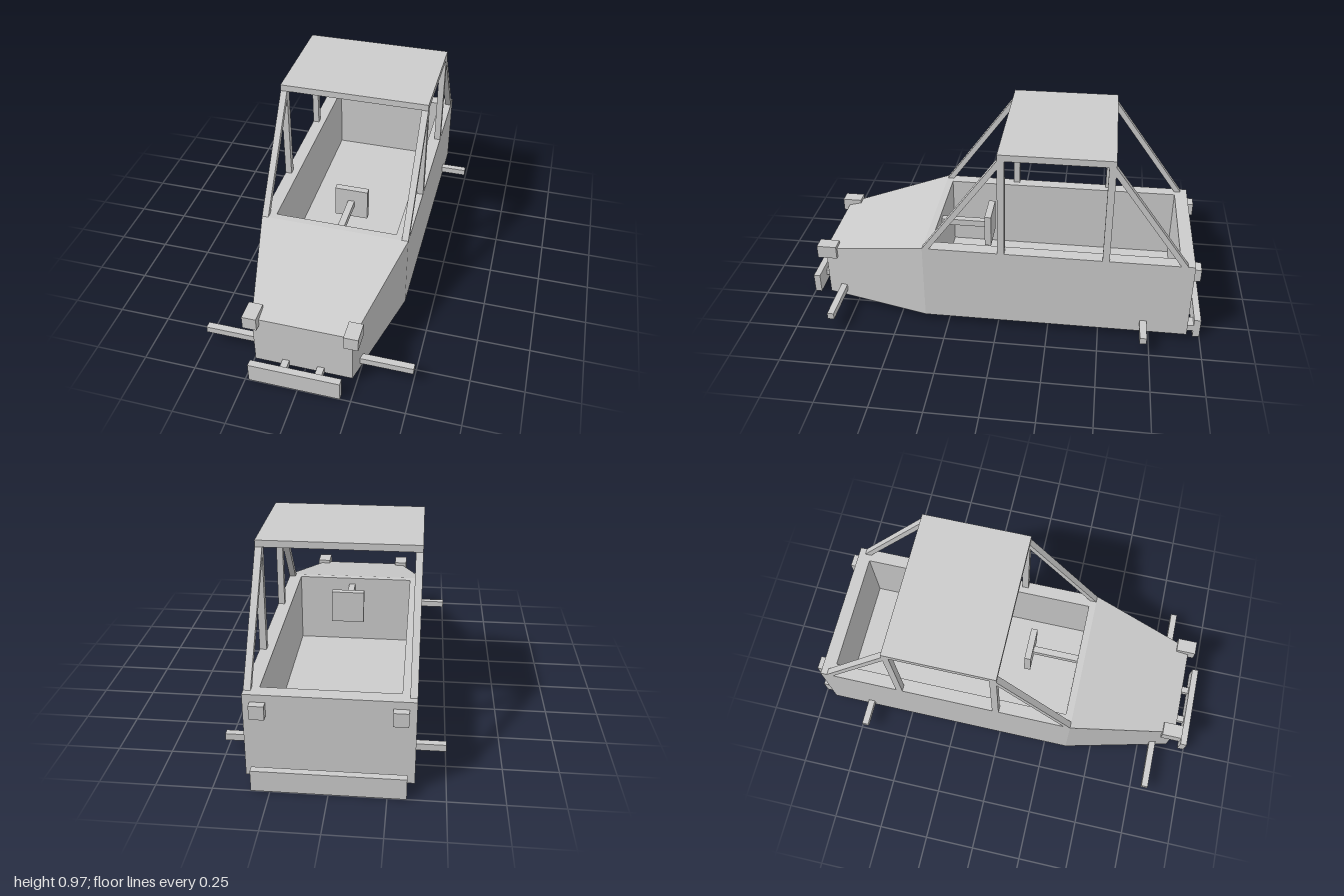
import * as THREE from 'three';

const material = new THREE.MeshStandardMaterial({ color: 0xcccccc, flatShading: true });

function addMesh(parent, name, geometry) {
  const mesh = new THREE.Mesh(geometry, material);
  mesh.name = name;
  parent.add(mesh);
  return mesh;
}

// Box given by its extents along each axis
function addBox(parent, name, [x0, x1], [y0, y1], [z0, z1]) {
  const mesh = addMesh(parent, name, new THREE.BoxGeometry(x1 - x0, y1 - y0, z1 - z0));
  mesh.position.set((x0 + x1) / 2, (y0 + y1) / 2, (z0 + z1) / 2);
  return mesh;
}

// The same box on the left (+x) and on the right (-x)
function addPair(parent, name, [x0, x1], y, z) {
  addBox(parent, name + 'Left', [x0, x1], y, z);
  addBox(parent, name + 'Right', [-x1, -x0], y, z);
}

// Box whose vertices are moved by a rule
function shapedBox(w, h, d, rule) {
  const geometry = new THREE.BoxGeometry(w, h, d);
  const p = geometry.attributes.position;
  const v = new THREE.Vector3();
  for (let i = 0; i < p.count; i++) {
    rule(v.fromBufferAttribute(p, i));
    p.setXYZ(i, v.x, v.y, v.z);
  }
  geometry.computeVertexNormals();
  return geometry;
}

const HALF = 0.365, BOTTOM = 0.035, RIM = 0.435;
const BACK = -0.933, COWL = 0.367, NOSE = 0.9;

function createBody() {
  const body = new THREE.Group();
  body.name = 'body';

  // Open tub: a rectangular rim with the cockpit cut out
  const rectangle = (Type, x, z0, z1) => new Type([
    new THREE.Vector2(-x, -z1), new THREE.Vector2(x, -z1),
    new THREE.Vector2(x, -z0), new THREE.Vector2(-x, -z0),
  ]);
  const outline = rectangle(THREE.Shape, HALF, BACK, COWL);
  outline.holes.push(rectangle(THREE.Path, 0.3, -0.867, 0.333));
  const tub = new THREE.ExtrudeGeometry(outline, { depth: RIM - BOTTOM, bevelEnabled: false });
  tub.rotateX(-Math.PI / 2).translate(0, BOTTOM, 0);
  addMesh(body, 'tub', tub);
  addBox(body, 'floor', [-0.3, 0.3], [BOTTOM, 0.067], [-0.867, 0.333]);

  // Nose narrows and slopes down towards the front
  const nose = shapedBox(HALF * 2, RIM - BOTTOM, NOSE - COWL, (v) => {
    if (v.z > 0) {
      v.x *= 0.233 / HALF;
      if (v.y > 0) v.y -= 0.133;
    }
  });
  addMesh(body, 'nose', nose).position.set(0, (BOTTOM + RIM) / 2, (COWL + NOSE) / 2);
  return body;
}

function createCage() {
  const cage = new THREE.Group();
  cage.name = 'rollCage';
  addBox(cage, 'roof', [-HALF, HALF], [0.935, 0.967], [-0.533, 0]);
  addPair(cage, 'frontPost', [0.333, HALF], [RIM, 0.935], [-0.033, 0]);
  addPair(cage, 'rearPost', [0.333, HALF], [RIM, 0.935], [-0.533, -0.5]);

  // Slanted braces with level ends, from the roof corners to the rim
  const addBrace = (name, topZ, bottomZ) => {
    for (const side of [1, -1]) {
      const geometry = shapedBox(0.032, 0.5, 0.033, (v) => {
        v.z += v.y > 0 ? topZ : bottomZ;
      });
      addMesh(cage, name + (side > 0 ? 'Left' : 'Right'), geometry)
        .position.set(side * 0.349, (RIM + 0.935) / 2, 0);
    }
  };
  addBrace('frontBrace', -0.016, 0.35);
  addBrace('rearBrace', -0.517, -0.883);
  return cage;
}

export function createModel() {
  const model = new THREE.Group();
  model.name = 'buggy';
  model.add(createBody(), createCage());

  // Steering
  const steering = new THREE.Group();
  steering.name = 'steering';
  addBox(steering, 'steeringWheel', [-0.067, 0.1], [0.3, 0.467], [0.067, 0.1]);
  addBox(steering, 'steeringColumn', [0, 0.033], [0.367, 0.4], [0.1, 0.334]);
  model.add(steering);

  // Axle stubs
  addPair(model, 'frontAxle', [0.25, 0.5], [0.067, 0.1], [0.8, 0.833]);
  addPair(model, 'rearAxle', [0.36, 0.5], [0.067, 0.1], [-0.733, -0.7]);

  // Lights
  addPair(model, 'headlight', [0.2, 0.267], [0.268, 0.335], [0.835, 0.933]);
  addPair(model, 'tailLight', [0.267, 0.333], [0.335, 0.4], [-0.967, BACK]);

  // Bumpers and their brackets
  addBox(model, 'frontBumper', [-0.233, 0.2], [0, 0.1], [0.967, 1]);
  addPair(model, 'frontBracket', [0.067, 0.1], [BOTTOM, 0.067], [NOSE, 0.967]);
  addBox(model, 'rearBumper', [-0.333, 0.333], [0, 0.1], [-1, -0.967]);
  addPair(model, 'rearBracket', [0.267, 0.333], [BOTTOM, 0.067], [-0.967, BACK]);

  return model;
}
